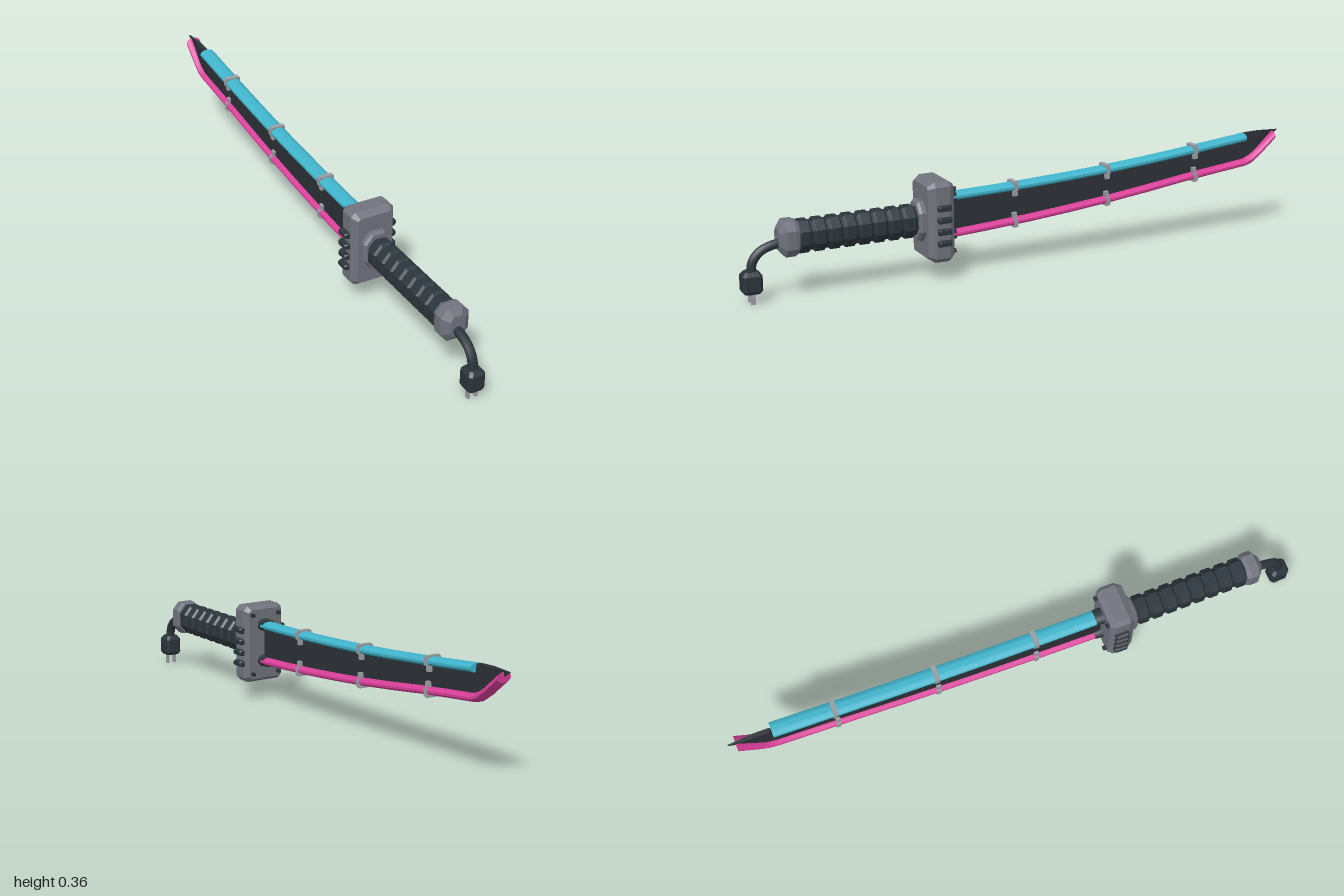
import * as THREE from 'three';
import { toCreasedNormals } from 'three/addons/utils/BufferGeometryUtils.js';

const mat = (name, color) => {
  const m = new THREE.MeshStandardMaterial({ color });
  m.name = name;
  return m;
};

// Chamfered rectangle ring in the XY plane, counter-clockwise from +z
const oct = (z, w, h, c, d = c, x = 0, y = 0) =>
  [[w, d - h], [w, h - d], [w - c, h], [c - w, h], [-w, h - d], [-w, d - h], [c - w, -h], [w - c, -h]]
    .map(([px, py]) => new THREE.Vector3(px + x, py + y, z));

// Elliptical ring in the XY plane
const oval = (z, w, h, x = 0, y = 0, n = 12) =>
  Array.from({ length: n }, (_, i) => {
    const a = ((i + 0.5) / n) * Math.PI * 2;
    return new THREE.Vector3(x + w * Math.cos(a), y + h * Math.sin(a), z);
  });

// Closed skin through rings ordered from +z to -z
function loft(rings, crease = 0.1) {
  const pos = [];
  const tri = (...p) => p.forEach((v) => pos.push(v.x, v.y, v.z));
  const n = rings[0].length;
  const centre = (r) => r.reduce((s, v) => s.add(v), new THREE.Vector3()).divideScalar(n);
  const first = rings[0], last = rings[rings.length - 1];
  const c0 = centre(first), c1 = centre(last);
  for (let j = 0; j < n; j++) {
    const k = (j + 1) % n;
    for (let i = 0; i + 1 < rings.length; i++) {
      const a = rings[i], b = rings[i + 1];
      tri(a[j], b[j], a[k]);
      tri(a[k], b[j], b[k]);
    }
    tri(c0, first[j], first[k]);
    tri(c1, last[k], last[j]);
  }
  const g = new THREE.BufferGeometry();
  g.setAttribute('position', new THREE.Float32BufferAttribute(pos, 3));
  return toCreasedNormals(g, crease);
}

// Height on a polyline of [z, y] points with falling z
function heightAt(path, z) {
  let i = 0;
  while (i < path.length - 2 && z < path[i + 1][0]) i++;
  const [z0, y0] = path[i], [z1, y1] = path[i + 1];
  return y0 + ((z - z0) / (z1 - z0)) * (y1 - y0);
}

export function createModel() {
  const group = new THREE.Group();
  const grey = mat('casing grey', 0x70737d);
  const dark = mat('rubber dark', 0x2b353c);
  const bladeMat = mat('blade charcoal', 0x2c3136);
  const blue = mat('tube blue', 0x40b4cc);
  const pink = mat('tube pink', 0xd83f98);
  const metal = mat('clip metal', 0x9a9da2);

  const add = (name, geometry, material, x = 0, y = 0, z = 0) => {
    const m = new THREE.Mesh(geometry, material);
    m.name = name;
    m.position.set(x, y, z);
    group.add(m);
    return m;
  };

  // Guard block with chamfered edges
  add('guard', loft([
    oct(0.388, 0.062, 0.12, 0.008), oct(0.365, 0.077, 0.135, 0.015),
    oct(0.315, 0.077, 0.135, 0.015), oct(0.298, 0.065, 0.123, 0.01),
  ]), grey, 0, 0.2);
  add('collar', loft([oct(0.411, 0.045, 0.06, 0.024, 0.03), oct(0.402, 0.05, 0.066, 0.026, 0.033),
    oct(0.38, 0.05, 0.066, 0.026, 0.033)]), grey, 0, 0.2);

  // Side knobs and corner bolts of the guard
  for (const s of [-1, 1]) {
    for (const y of [0.25, 0.21, 0.171, 0.132]) {
      const knob = add('guardKnob', loft([oct(0.024, 0.02, 0.007, 0.003), oct(0.015, 0.024, 0.01, 0.003),
        oct(0, 0.024, 0.01, 0.003)]), dark, s * 0.07, y, 0.337);
      knob.rotation.y = s * Math.PI / 2;
    }
    for (const y of [0.095, 0.305]) {
      const bolt = add('guardBolt', new THREE.CylinderGeometry(0.008, 0.008, 0.014, 6), dark, s * 0.052, y, 0.294);
      bolt.rotation.x = Math.PI / 2;
    }
  }

  // Ribbed grip
  const grip = [oct(0.825, 0.042, 0.05, 0.021, 0.025)];
  for (let i = 0; i < 8; i++) {
    const z = 0.795 - i * 0.051;
    for (const [dz, w, h] of [[0.022, 0.041, 0.05], [0.015, 0.049, 0.057], [-0.015, 0.049, 0.057], [-0.022, 0.041, 0.05]])
      grip.push(oval(z + dz, w, h, 0, 0, 8));
  }
  grip[0] = oval(0.825, 0.041, 0.05, 0, 0, 8);
  grip.push(oval(0.4, 0.041, 0.05, 0, 0, 8));
  add('grip', loft(grip), dark, 0, 0.2);

  // Pommel
  add('pommel', loft([
    oct(0.877, 0.026, 0.035, 0.012, 0.016), oct(0.858, 0.049, 0.058, 0.024, 0.028),
    oct(0.828, 0.049, 0.058, 0.024, 0.028), oct(0.815, 0.044, 0.053, 0.022, 0.026),
  ]), grey, 0, 0.2);

  // Cord and plug
  const cord = new THREE.CatmullRomCurve3([[0.86, 0.185], [0.895, 0.181], [0.935, 0.165], [0.96, 0.135], [0.967, 0.095]]
    .map(([z, y]) => new THREE.Vector3(0, y, z)));
  add('cord', new THREE.TubeGeometry(cord, 16, 0.016, 8), dark);
  const plug = add('plug', loft([
    oct(0.036, 0.024, 0.026, 0.008), oct(0.026, 0.029, 0.032, 0.009),
    oct(-0.023, 0.029, 0.032, 0.009), oct(-0.036, 0.02, 0.022, 0.008),
  ]), dark, 0, 0.071, 0.967);
  plug.rotation.x = Math.PI / 2;
  for (const s of [-1, 1])
    add('prong', new THREE.BoxGeometry(0.008, 0.04, 0.014), metal, s * 0.014, 0.02, 0.967);

  // Glowing tubes along both blade edges, as [z, y]
  const upper = [[0.29, 0.267], [0.15, 0.27], [0, 0.275], [-0.15, 0.282], [-0.3, 0.291], [-0.45, 0.303], [-0.6, 0.317],
    [-0.73, 0.33], [-0.855, 0.343]];
  const lower = [[0.29, 0.14], [0.15, 0.148], [0, 0.158], [-0.15, 0.171], [-0.3, 0.186], [-0.45, 0.204], [-0.6, 0.224],
    [-0.73, 0.239], [-0.85, 0.252], [-0.88, 0.262], [-0.91, 0.283], [-0.975, 0.338]];
  add('upperTube', loft(upper.map(([z, y]) => oval(z, 0.027, 0.015, 0.003, y)), 0.6), blue);
  add('lowerTube', loft(lower.map(([z, y]) => oval(z, 0.027, z < -0.86 ? 0.017 : 0.014, 0.003, y)), 0.6), pink);
  for (const y of [0.267, 0.14]) {
    const socket = add('tubeSocket', new THREE.CylinderGeometry(0.027, 0.03, 0.035, 10), dark, 0.002, y, 0.287);
    socket.rotation.x = -Math.PI / 2;
    socket.scale.z = 0.75;
  }

  // Blade plate, thinning towards the point
  const outline = [...upper, [-0.86, 0.357], [-0.92, 0.359], [-1, 0.357], [-0.972, 0.338], ...lower.slice(0, -1).reverse()];
  const plate = new THREE.ExtrudeGeometry(
    new THREE.Shape(outline.map(([z, y]) => new THREE.Vector2(-z, y)).reverse()),
    { depth: 0.016, bevelEnabled: false }).translate(0, 0, -0.008).rotateY(Math.PI / 2);
  const p = plate.attributes.position;
  for (let i = 0; i < p.count; i++)
    if (p.getZ(i) < -0.93) p.setX(i, p.getX(i) * 0.25);
  plate.computeVertexNormals();
  add('blade', plate, bladeMat);

  // Clips holding the tubes: a bar outside and two legs on the plate
  for (const z of [0.055, -0.295, -0.645]) {
    for (const [path, s] of [[upper, 1], [lower, -1]]) {
      const clip = new THREE.Group();
      clip.name = 'tubeClip';
      clip.position.set(0.003, heightAt(path, z), z);
      clip.rotation.x = Math.atan2(heightAt(path, z - 0.05) - heightAt(path, z + 0.05), 0.1);
      const part = (name, w, h, d, x, y) => {
        const m = new THREE.Mesh(new THREE.BoxGeometry(w, h, d), metal);
        m.name = name;
        m.position.set(x, y, 0);
        clip.add(m);
      };
      part('clipBar', 0.046, 0.009, 0.016, 0, s * 0.015);
      for (const side of [-1, 1]) {
        part('clipLeg', 0.008, 0.026, 0.014, side * 0.024, s * 0.002);
        part('clipFoot', 0.012, 0.018, 0.016, side * 0.014, s * -0.022);
      }
      group.add(clip);
    }
  }
  return group;
}
